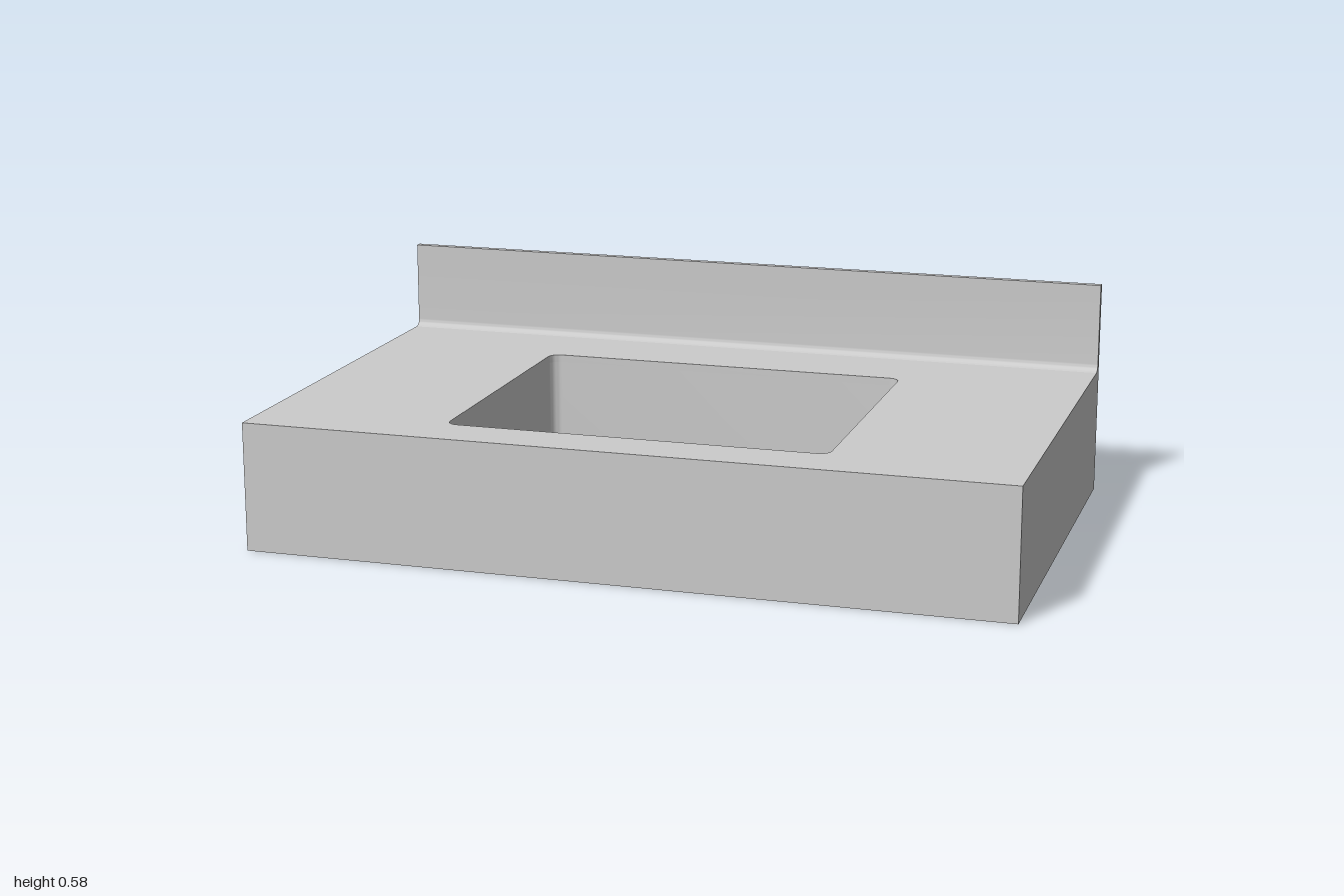
import * as THREE from 'three';
import { toCreasedNormals } from 'three/addons/utils/BufferGeometryUtils.js';

const T = 0.02;                                  // sheet thickness
const TOP = 0.34, UNDER = TOP - T;               // counter surfaces
const FLOOR = 0.04;                              // basin floor level
const BASIN = { w: 1, d: 0.8, z: 0.06, r: 0.03 };
const FILLET = 0.02;

// Rounded rectangle around the origin, counter-clockwise
function roundedRect(path, w, d, r) {
  const x = w / 2 - r, y = d / 2 - r, q = Math.PI / 2;
  [[x, y], [-x, y], [-x, -y], [x, -y]].forEach(([cx, cy], i) =>
    path.absarc(cx, cy, r, i * q, (i + 1) * q, false));
  return path;
}

// Rectangle with cut corners
function chamferedRect(w, d, c) {
  const x = w / 2, y = d / 2;
  return new THREE.Shape([
    [x, -y + c], [x, y - c], [x - c, y], [-x + c, y],
    [-x, y - c], [-x, -y + c], [-x + c, -y], [x - c, -y],
  ].map(p => new THREE.Vector2(...p)));
}

// Horizontal plate from a plan shape, centred on the basin
function plate(shape, y0, y1, curveSegments = 4) {
  const g = new THREE.ExtrudeGeometry(shape, { depth: y1 - y0, bevelEnabled: false, curveSegments });
  g.rotateX(-Math.PI / 2).translate(0, y0, BASIN.z);
  return toCreasedNormals(g, 0.5);
}

// Concave fillet where the basin walls meet the floor
function filletGeometry() {
  const steps = 6, pos = [], idx = [];
  let n = 0;
  for (let i = 0; i <= steps; i++) {
    const a = (i / steps) * Math.PI / 2;
    const inset = FILLET * (1 - Math.cos(a));
    const y = FLOOR + FILLET * (1 - Math.sin(a));
    const pts = roundedRect(new THREE.Path(), BASIN.w - 2 * inset, BASIN.d - 2 * inset, BASIN.r - inset).getPoints(4);
    n = pts.length;
    pts.forEach(p => pos.push(p.x, y, BASIN.z - p.y));
  }
  for (let i = 0; i < steps; i++) {
    for (let j = 0; j < n; j++) {
      const a = i * n + j, b = i * n + (j + 1) % n;
      idx.push(a, b, b + n, a, b + n, a + n);
    }
  }
  const g = new THREE.BufferGeometry();
  g.setAttribute('position', new THREE.Float32BufferAttribute(pos, 3));
  g.setIndex(idx);
  g.computeVertexNormals();
  return g;
}

export function createModel() {
  const group = new THREE.Group();
  const material = new THREE.MeshStandardMaterial({ color: 0xcccccc });
  const add = (name, geometry, x = 0, y = 0, z = 0) => {
    const mesh = new THREE.Mesh(geometry, material);
    mesh.name = name;
    mesh.position.set(x, y, z);
    group.add(mesh);
  };

  // Countertop with the basin opening
  const back = BASIN.z + 0.56, front = BASIN.z - 0.6;
  const top = new THREE.Shape([[-1, front], [1, front], [1, back], [-1, back]]
    .map(p => new THREE.Vector2(...p)));
  top.holes.push(roundedRect(new THREE.Path(), BASIN.w, BASIN.d, BASIN.r));
  add('countertop', plate(top, UNDER, TOP));

  // Backsplash with a coved foot, profile in z and y
  const profile = new THREE.Shape();
  profile.moveTo(-0.6, UNDER);
  profile.lineTo(-0.56, UNDER);
  profile.lineTo(-0.56, TOP);
  profile.absarc(-0.56, TOP + FILLET, FILLET, -Math.PI / 2, -Math.PI, true);
  profile.lineTo(-0.58, 0.58);
  profile.lineTo(-0.6, 0.58);
  const splash = new THREE.ExtrudeGeometry(profile, { depth: 2, bevelEnabled: false, curveSegments: 4 });
  splash.rotateY(-Math.PI / 2).translate(1, 0, 0);
  add('backsplash', toCreasedNormals(splash, 0.5));

  // Apron: front and two sides, open at the back
  add('frontPanel', new THREE.BoxGeometry(2 - 2 * T, UNDER, T), 0, UNDER / 2, 0.6 - T / 2);
  for (const [name, s] of [['leftPanel', 1], ['rightPanel', -1]]) {
    add(name, new THREE.BoxGeometry(T, UNDER, 1.2), s * (1 - T / 2), UNDER / 2, 0);
  }

  // Basin walls: cut corners outside, rounded inside
  const outer = () => chamferedRect(BASIN.w + 2 * T, BASIN.d + 2 * T, 0.03);
  const walls = outer();
  walls.holes.push(roundedRect(new THREE.Path(), BASIN.w, BASIN.d, BASIN.r));
  add('basinWalls', plate(walls, FLOOR, UNDER));
  add('basinFillet', filletGeometry());

  // Basin floor with the drain hole
  const floor = outer();
  floor.holes.push(new THREE.Path().absarc(0, 0, 0.05, 0, Math.PI * 2, false));
  add('basinFloor', plate(floor, FLOOR - T, FLOOR, 16));

  return group;
}
